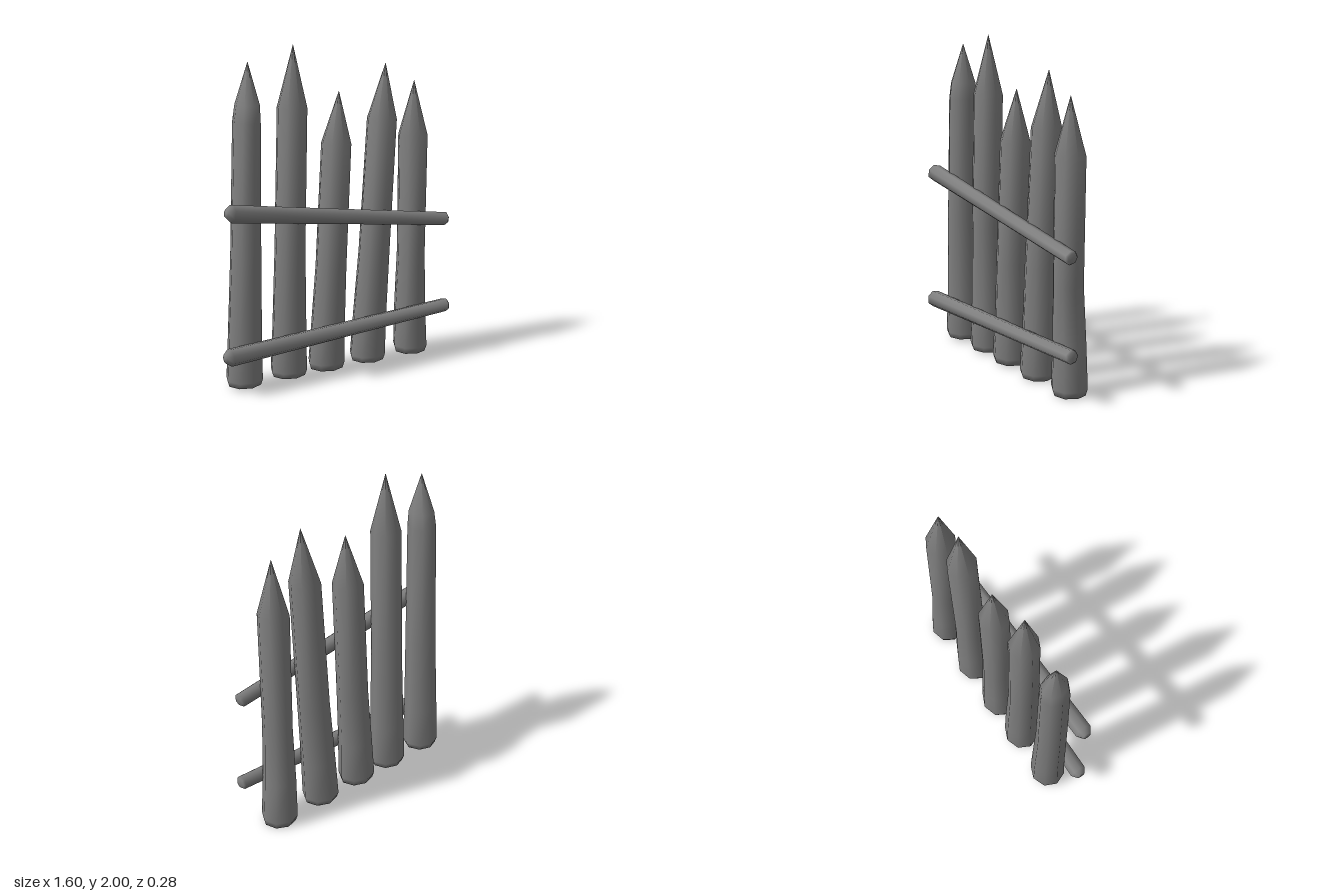
import * as THREE from 'three';

// Closed smooth log lofted through sections [x, y, z, radiusX, radiusZ], bottom to top
function loft(sections, sides, turn) {
  const pos = [], idx = [];
  sections.forEach(([x, y, z, rx, rz], k) => {
    for (let j = 0; j < sides; j++) {
      const a = turn + (j / sides) * Math.PI * 2;
      pos.push(x + rx * Math.cos(a), y, z + rz * Math.sin(a));
      if (k === 0) continue;
      const n = (j + 1) % sides, lo = (k - 1) * sides, hi = k * sides;
      idx.push(lo + j, hi + j, lo + n, hi + j, hi + n, lo + n);
    }
  });
  // End caps
  const first = sections[0], last = sections[sections.length - 1];
  const bottom = pos.length / 3, top = bottom + 1, end = (sections.length - 1) * sides;
  pos.push(first[0], first[1], first[2], last[0], last[1], last[2]);
  for (let j = 0; j < sides; j++) {
    const n = (j + 1) % sides;
    idx.push(bottom, j, n, top, end + n, end + j);
  }
  const geo = new THREE.BufferGeometry();
  geo.setAttribute('position', new THREE.Float32BufferAttribute(pos, 3));
  geo.setIndex(idx);
  geo.computeVertexNormals();
  return geo;
}

export function createModel() {
  const group = new THREE.Group();
  const material = new THREE.MeshStandardMaterial({ color: 0x808080 });
  const add = (name, geo) => {
    const mesh = new THREE.Mesh(geo, material);
    mesh.name = name;
    group.add(mesh);
    return mesh;
  };

  // Stakes: foot height, outline [y, left edge, right edge] up to the shoulder, tip [x, y]
  const stakes = [
    { foot: 0.015, outline: [[0.05, -0.722, -0.495], [0.3, -0.707, -0.498], [0.8, -0.684, -0.501], [1.58, -0.654, -0.495], [1.68, -0.638, -0.498]], tip: [-0.563, 1.92] },
    { foot: 0.015, outline: [[0.05, -0.419, -0.187], [0.3, -0.405, -0.19], [0.8, -0.387, -0.2], [1.64, -0.363, -0.181]], tip: [-0.264, 2] },
    { foot: 0.01, outline: [[0.05, -0.152, 0.087], [0.3, -0.128, 0.087], [0.65, -0.102, 0.092], [1.4, -0.061, 0.126]], tip: [0.05, 1.71] },
    { foot: 0.005, outline: [[0.04, 0.155, 0.389], [0.3, 0.178, 0.397], [0.7, 0.211, 0.412], [1.52, 0.268, 0.457]], tip: [0.385, 1.855] },
    { foot: 0, outline: [[0.04, 0.49, 0.714], [0.3, 0.496, 0.697], [0.65, 0.508, 0.678], [1.4, 0.503, 0.692]], tip: [0.6, 1.735] },
  ];
  stakes.forEach(({ foot, outline, tip }, i) => {
    const body = outline.map(([y, l, r], k) => {
      const rz = [0.109, 0.104, 0.097, 0.093, 0.083][k];
      return [(l + r) / 2, y, k < 2 ? -0.03 : -0.022, (r - l) / 2, rz];
    });
    const [x, , z, rx, rz] = body[0];
    const sections = [[x, foot, z, rx * 0.9, rz * 0.88], ...body, [tip[0], tip[1], -0.02, 0.001, 0.001]];
    add(`stake${i + 1}`, loft(sections, 8, i * 0.03));
  });

  // Rails: slanted poles across the front, with blunt bevelled ends
  const rails = [
    { name: 'upperRail', from: [-0.775, 1.095, 0.09], to: [0.783, 0.864, 0.086] },
    { name: 'lowerRail', from: [-0.8, 0.242, 0.092], to: [0.8, 0.299, 0.087] },
  ];
  for (const { name, from, to } of rails) {
    const a = new THREE.Vector3(...from), b = new THREE.Vector3(...to);
    const length = a.distanceTo(b);
    const rail = add(name, loft([
      [0, 0, 0, 0.027, 0.027],
      [0, 0.035, 0, 0.054, 0.053],
      [0, length * 0.5, 0, 0.047, 0.048],
      [0, length - 0.012, 0, 0.043, 0.043],
      [0, length, 0, 0.032, 0.032],
    ], 7, 0.2));
    rail.position.copy(a);
    rail.quaternion.setFromUnitVectors(new THREE.Vector3(0, 1, 0), b.sub(a).normalize());
  }

  return group;
}
